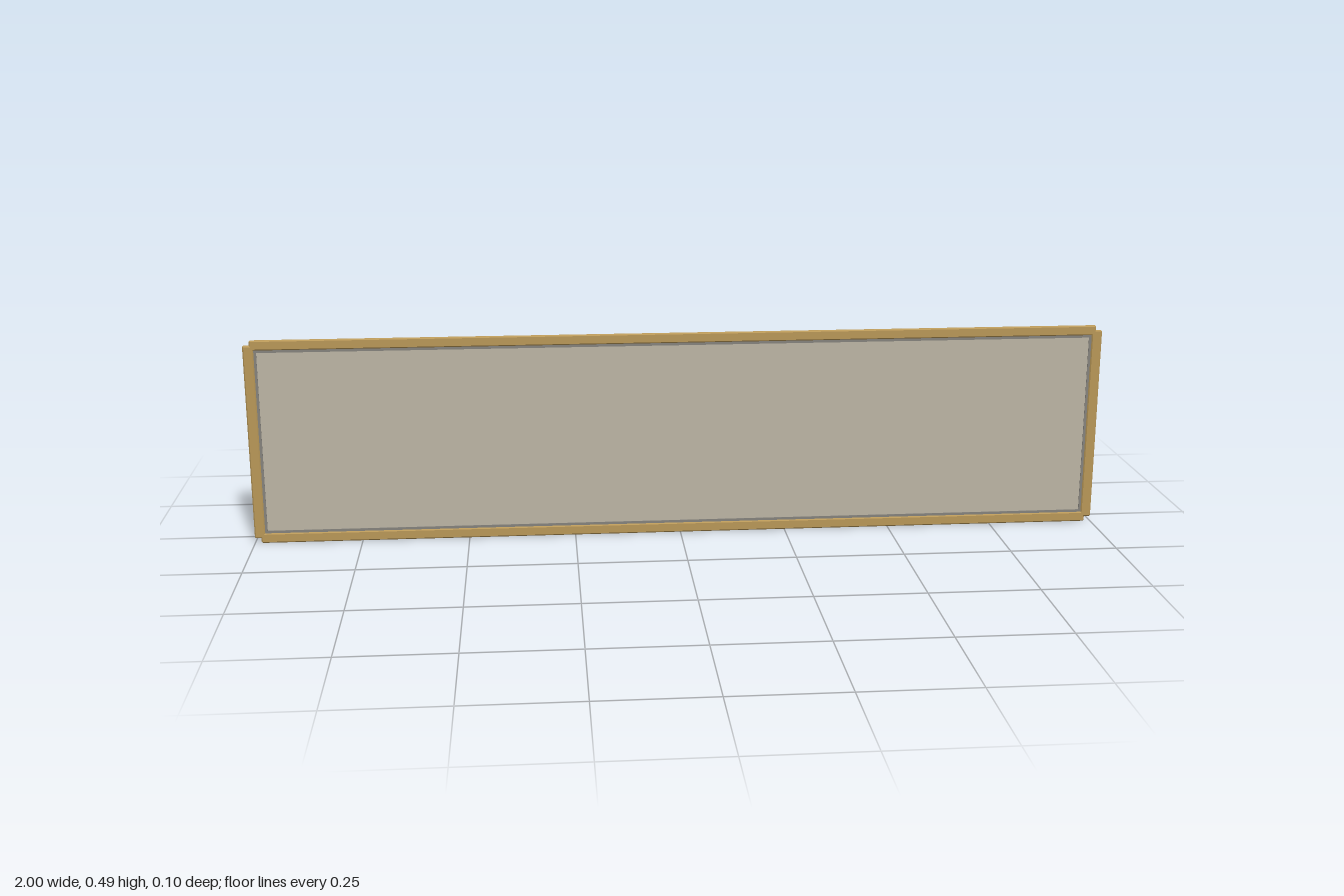
import * as THREE from 'three';
import { ConvexGeometry } from 'three/addons/geometries/ConvexGeometry.js';

const mat = (name, color) => {
  const m = new THREE.MeshStandardMaterial({ color });
  m.name = name;
  return m;
};

// Box with every edge cut at 45 degrees, given by its min and max corners
function chamferBox(min, max, c) {
  const h = max.map((v, i) => (v - min[i]) / 2);
  const pts = [];
  for (const sx of [-1, 1]) for (const sy of [-1, 1]) for (const sz of [-1, 1]) {
    for (let axis = 0; axis < 3; axis++) {
      const s = h.map((v, i) => (i === axis ? v : v - c));
      pts.push(new THREE.Vector3(sx * s[0], sy * s[1], sz * s[2]));
    }
  }
  const g = new ConvexGeometry(pts);
  g.translate(...min.map((v, i) => (v + max[i]) / 2));
  return g;
}

export function createModel() {
  const brass = mat('brass frame', 0xb99858);
  const cream = mat('panel cream', 0xbdb5a5);
  const grey = mat('trim grey', 0x85837d);
  const pale = mat('rail tan', 0xbaa985);
  const dark = mat('track charcoal', 0x424146);
  const brown = mat('carriage brown', 0x8f6d59);
  const teal = mat('inlay teal', 0x8cc6b6);

  const group = new THREE.Group();
  group.name = 'slidingPanel';
  const add = (name, material, min, max, c = 0) => {
    let g;
    if (c > 0) g = chamferBox(min, max, c);
    else {
      g = new THREE.BoxGeometry(...max.map((v, i) => v - min[i]));
      g.translate(...min.map((v, i) => (v + max[i]) / 2));
    }
    const mesh = new THREE.Mesh(g, material);
    mesh.name = name;
    group.add(mesh);
    return mesh;
  };

  const H = 0.486, mid = H / 2;

  // Panel body
  add('panel', cream, [-0.978, 0.022, 0.035], [0.978, H - 0.022, 0.047], 0.002);

  // Outer frame and thin front trim, mirrored about the centre
  for (const s of [-1, 1]) {
    const x = s * 0.9875, y = mid + s * (mid - 0.012);
    add('frameSide', brass, [x - 0.0125, 0.012, 0.043], [x + 0.0125, H - 0.012, 0.051], 0.003);
    add('frameRail', brass, [-0.985, y - 0.012, 0.043], [0.985, y + 0.012, 0.051], 0.003);
    const tx = s * 0.9725, ty = mid + s * (mid - 0.0265);
    add('trimSide', grey, [tx - 0.003, 0.024, 0.046], [tx + 0.003, H - 0.024, 0.0485]);
    add('trimRail', grey, [-0.975, ty - 0.003, 0.046], [0.975, ty + 0.003, 0.0485]);
  }

  // Back border rods with corner caps
  for (const s of [-1, 1]) {
    const x = s * 0.945, y = mid + s * 0.197;
    add('borderSide', grey, [x - 0.003, 0.046, 0.033], [x + 0.003, H - 0.046, 0.037], 0.001);
    add('borderRail', grey, [-0.945, y - 0.003, 0.033], [0.945, y + 0.003, 0.037], 0.001);
    for (const t of [-1, 1]) {
      const cx = t * 0.945;
      add('cornerCap', pale, [cx - 0.007, y - 0.007, 0.03], [cx + 0.007, y + 0.007, 0.038], 0.002);
    }
  }

  // Track strip and the two guide rails
  const cy = 0.282;
  add('trackStrip', dark, [-0.91, cy - 0.031, 0.026], [0.91, cy + 0.031, 0.036]);
  for (const s of [-1, 1]) {
    const y = cy + s * 0.06;
    add('guideRail', pale, [-0.926, y - 0.009, 0.013], [0.926, y + 0.009, 0.032], 0.004);
  }

  // Carriage with inlay on its back
  add('carriage', brown, [0.837, 0.204, -0.04], [0.925, 0.36, 0.024], 0.0125);
  add('carriageInlay', teal, [0.868, 0.222, -0.051], [0.894, 0.341, -0.038]);

  return group;
}
